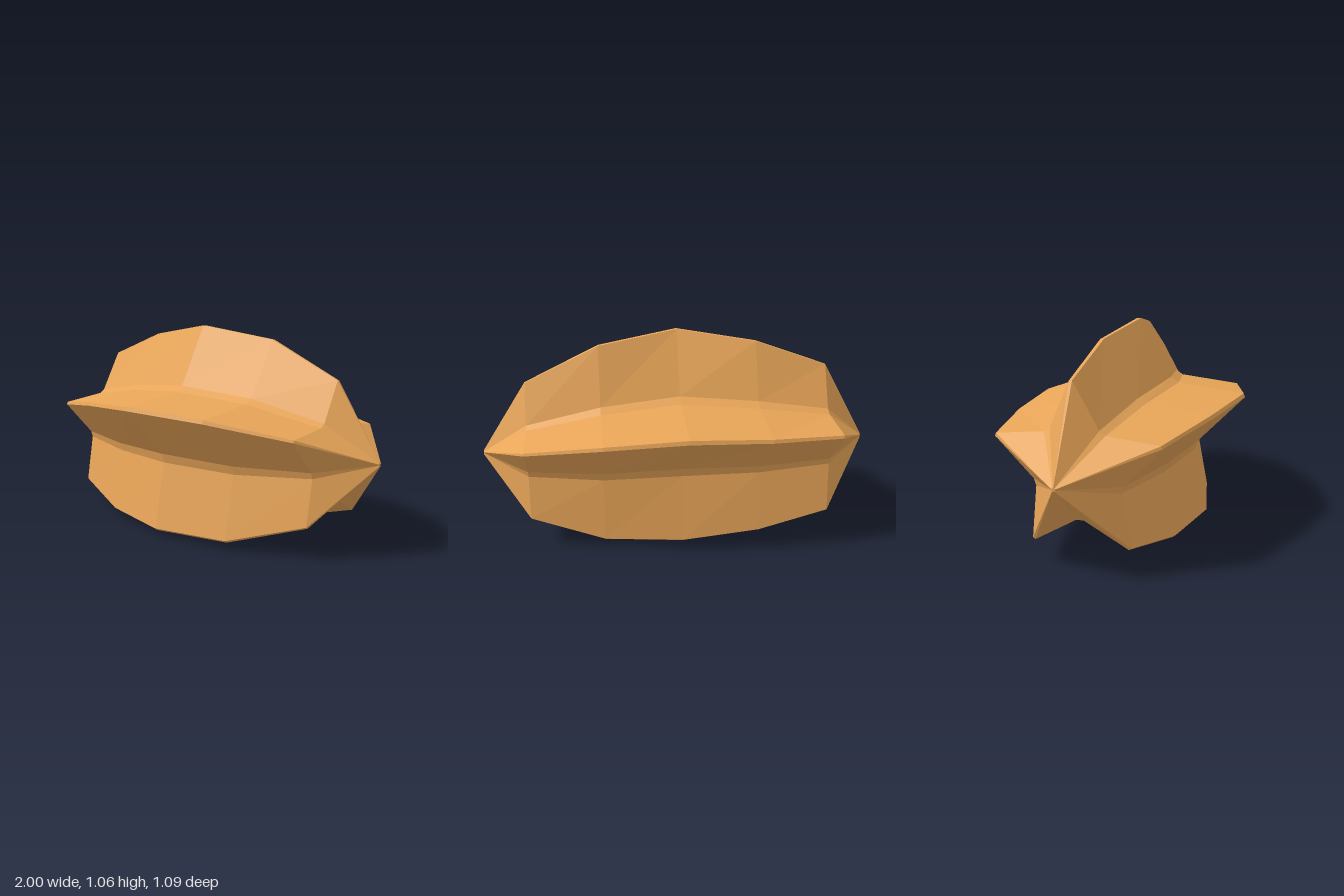
import * as THREE from 'three';

// Cross-sections along x; each lists five ridge tips as [z, y]:
// top, upper front, lower front, lower back, upper back
const middle = [[-0.015, 1.055], [0.545, 0.678], [0.355, 0.03], [-0.317, 0.004], [-0.543, 0.64]];
const shoulder = [[-0.078, 0.995], [0.45, 0.65], [0.28, 0.04], [-0.31, 0.035], [-0.525, 0.62]];
const rightEnd = [[-0.087, 0.82], [0.27, 0.585], [0.145, 0.16], [-0.27, 0.155], [-0.412, 0.565]];
const leftEnd = [[-0.092, 0.865], [0.31, 0.6], [0.17, 0.122], [-0.29, 0.118], [-0.46, 0.6]];

// Tiny star closing each pointed end
const point = Array.from({ length: 5 }, (_, i) => {
  const a = (i * 2 * Math.PI) / 5;
  return [-0.085 + 0.012 * Math.sin(a), 0.455 + 0.012 * Math.cos(a)];
});

const sections = [
  [-1, point], [-0.77, leftEnd], [-0.4, shoulder], [0, middle],
  [0.4, shoulder], [0.77, rightEnd], [1, point],
];

// Ring of 20 points: each tip and each valley is a narrow bevel of two points
function starRing(x, tips) {
  const cz = tips.reduce((s, t) => s + t[0], 0) / 5;
  const cy = tips.reduce((s, t) => s + t[1], 0) / 5;
  const ring = [];
  const bevel = (dz, dy, width) => {
    for (const s of [-width, width]) ring.push([x, cy + dy - dz * s, cz + dz + dy * s]);
  };
  tips.forEach(([z, y], i) => {
    const [nz, ny] = tips[(i + 1) % 5];
    bevel(z - cz, y - cy, 0.018);
    bevel(0.67 * ((z + nz) / 2 - cz), 0.67 * ((y + ny) / 2 - cy), 0.08);
  });
  return ring;
}

function fruitGeometry() {
  const positions = [];
  const indices = [];
  const n = 20;
  for (const [x, tips] of sections) positions.push(...starRing(x, tips).flat());
  for (let r = 0; r < sections.length - 1; r++) {
    for (let j = 0; j < n; j++) {
      const a = r * n + j;
      const b = r * n + ((j + 1) % n);
      indices.push(a, b, a + n, b, b + n, a + n);
    }
  }
  // End caps
  const last = (sections.length - 1) * n;
  const centre = sections.length * n;
  positions.push(-1, 0.455, -0.085, 1, 0.455, -0.085);
  for (let j = 0; j < n; j++) {
    const k = (j + 1) % n;
    indices.push(centre, k, j, centre + 1, last + j, last + k);
  }
  const geometry = new THREE.BufferGeometry();
  geometry.setAttribute('position', new THREE.Float32BufferAttribute(positions, 3));
  geometry.setIndex(indices);
  const flat = geometry.toNonIndexed();
  flat.computeVertexNormals();
  return flat;
}

export function createModel() {
  const group = new THREE.Group();
  group.name = 'starFruit';
  const material = new THREE.MeshStandardMaterial({ color: 0xe8a558, flatShading: true });
  const body = new THREE.Mesh(fruitGeometry(), material);
  body.name = 'fruitBody';
  group.add(body);
  return group;
}
